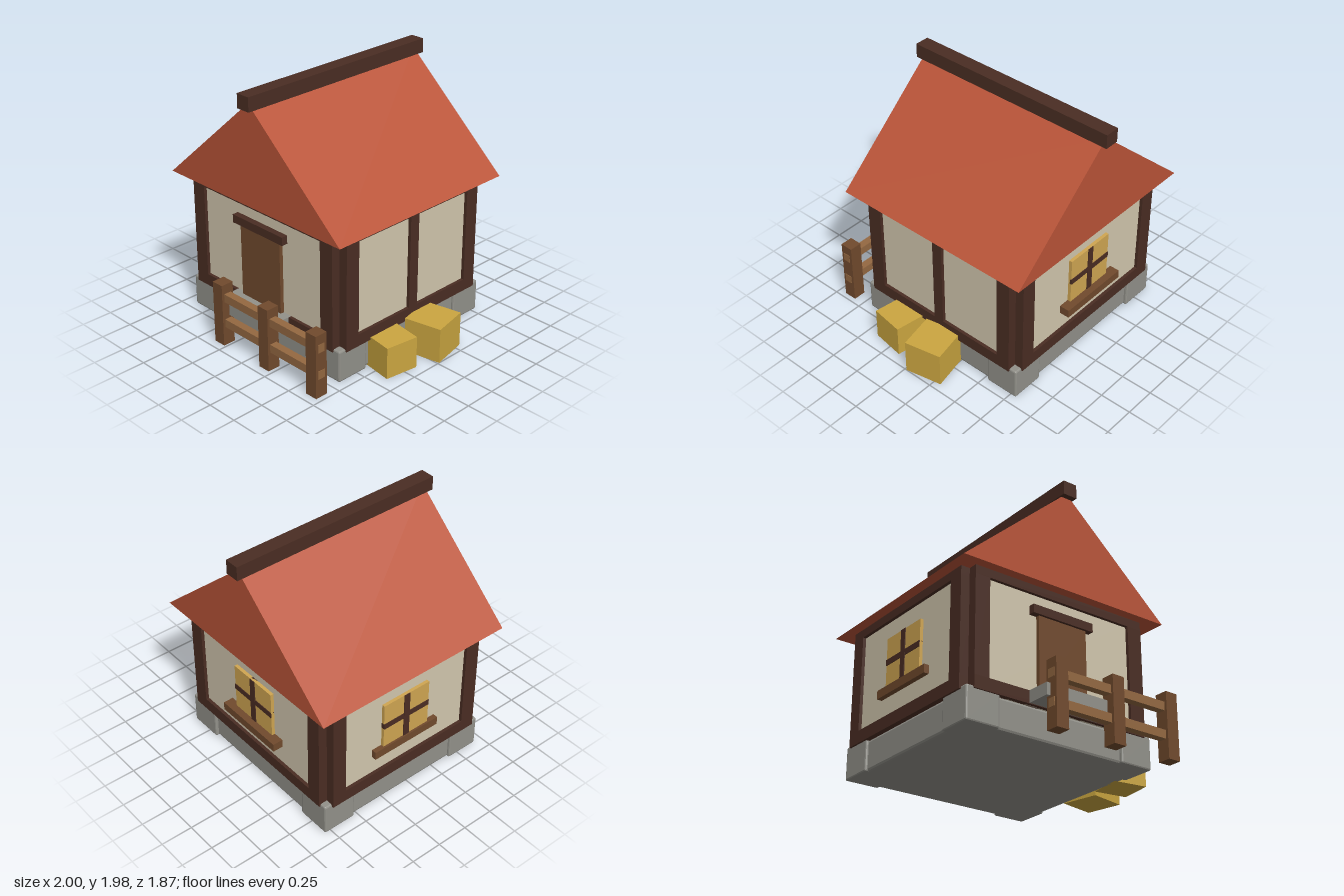
import * as THREE from 'three';
import { RoundedBoxGeometry } from 'three/addons/geometries/RoundedBoxGeometry.js';

const mat = (name, color) => {
  const m = new THREE.MeshStandardMaterial({ color });
  m.name = name;
  return m;
};

export function createModel() {
  const timber = mat('darkTimber', 0x4a2d23);
  const plaster = mat('plaster', 0xd2c7ae);
  const roofRed = mat('roofTile', 0xba5438);
  const stone = mat('stone', 0x92918a);
  const wood = mat('brownWood', 0x714a2d);
  const railWood = mat('railWood', 0x946841);
  const straw = mat('straw', 0xcba640);
  const glass = mat('windowGlass', 0xd0a652);

  const model = new THREE.Group();
  model.name = 'cottage';

  const add = (name, geometry, material, parent = model) => {
    const mesh = new THREE.Mesh(geometry, material);
    mesh.name = name;
    parent.add(mesh);
    return mesh;
  };
  // Box from its minimum and maximum on each axis
  const box = (name, material, x0, x1, y0, y1, z0, z1, parent) => {
    const m = add(name, new THREE.BoxGeometry(x1 - x0, y1 - y0, z1 - z0), material, parent);
    m.position.set((x0 + x1) / 2, (y0 + y1) / 2, (z0 + z1) / 2);
    return m;
  };
  // Box with chamfered edges
  const chamferBox = (name, material, x0, x1, y0, y1, z0, z1, r) => {
    const g = new RoundedBoxGeometry(x1 - x0, y1 - y0, z1 - z0, 1, r);
    g.computeVertexNormals();
    const m = add(name, g, material);
    m.position.set((x0 + x1) / 2, (y0 + y1) / 2, (z0 + z1) / 2);
  };

  // Stone base with larger corner stones
  chamferBox('stoneBase', stone, -0.885, 0.66, 0, 0.235, -0.775, 0.655, 0.02);
  for (const x of [-0.905, 0.41]) {
    for (const z of [-0.8, 0.41]) {
      chamferBox('cornerStone', stone, x, x + 0.27, 0, 0.25, z, z + 0.27, 0.012);
    }
  }

  // Plaster walls: two crossing blocks, leaving notched corners
  box('plasterWallFrontBack', plaster, -0.8, 0.57, 0.23, 1.12, -0.785, 0.665);
  box('plasterWallSides', plaster, -0.895, 0.665, 0.23, 1.12, -0.69, 0.57);

  // Timber frames on the front and back
  for (const [z0, z1] of [[0.57, 0.69], [-0.81, -0.69]]) {
    box('bottomBeam', timber, -0.85, 0.62, 0.23, 0.325, z0, z1);
    box('topBeam', timber, -0.85, 0.62, 1.06, 1.127, z0, z1);
    box('wallPost', timber, -0.85, -0.73, 0.325, 1.06, z0, z1);
    box('wallPost', timber, 0.5, 0.62, 0.325, 1.06, z0, z1);
  }
  // Timber frames on the sides
  for (const [x0, x1] of [[0.57, 0.69], [-0.92, -0.8]]) {
    box('bottomBeam', timber, x0, x1, 0.23, 0.325, -0.74, 0.62);
    box('topBeam', timber, x0, x1, 1.06, 1.127, -0.74, 0.62);
    box('wallPost', timber, x0, x1, 0.325, 1.06, -0.74, -0.625);
    box('wallPost', timber, x0, x1, 0.325, 1.06, 0.5, 0.62);
  }
  box('middlePost', timber, 0.6, 0.69, 0.325, 1.06, -0.105, -0.02);

  // Gable roof and ridge beam
  const gable = new THREE.Shape([
    new THREE.Vector2(-1, 1.125),
    new THREE.Vector2(0.77, 1.125),
    new THREE.Vector2(-0.115, 1.91),
  ]);
  const roof = add('roof', new THREE.ExtrudeGeometry(gable, { depth: 1.655, bevelEnabled: false }), roofRed);
  roof.position.z = -0.89;
  box('ridgeBeam', timber, -0.173, -0.058, 1.87, 1.98, -0.935, 0.81);

  // Door, lintel and doorstep
  box('door', wood, -0.32, 0.095, 0.325, 0.9, 0.62, 0.695);
  box('doorLintel', timber, -0.38, 0.145, 0.9, 0.965, 0.62, 0.715);
  box('doorstep', stone, -0.4, 0.172, 0.235, 0.325, 0.6, 0.872);

  // Windows, built facing +z with the wall plane at z = 0
  const addWindow = (x, z, angle, out, sillOut) => {
    const w = new THREE.Group();
    w.name = 'window';
    box('windowPane', glass, -0.21, 0.21, 0.53, 0.915, -0.02, out, w);
    box('windowMullion', timber, -0.026, 0.026, 0.54, 0.915, 0, out + 0.006, w);
    box('windowCrossbar', timber, -0.21, 0.21, 0.705, 0.75, 0, out + 0.005, w);
    box('windowSill', wood, -0.295, 0.295, 0.475, 0.54, -0.02, sillOut, w);
    w.position.set(x, 0, z);
    w.rotation.y = angle;
    model.add(w);
  };
  addWindow(-0.115, -0.785, Math.PI, 0.026, 0.08);
  addWindow(-0.895, -0.07, -Math.PI / 2, 0.025, 0.04);

  // Fence in front of the door
  for (const x of [-0.37, 0.12, 0.61]) box('fencePost', wood, x, x + 0.1, 0, 0.5, 0.832, 0.935);
  for (const y of [0.15, 0.36]) box('fenceRail', railWood, -0.375, 0.714, y, y + 0.065, 0.855, 0.915);

  // Straw bales beside the right wall
  for (const [x, z, size, height, angle] of [
    [0.826, -0.13, 0.295, 0.275, 0.2],
    [0.768, 0.255, 0.267, 0.25, -0.15],
  ]) {
    const bale = add('bale', new THREE.BoxGeometry(size, height, size), straw);
    bale.position.set(x, height / 2, z);
    bale.rotation.y = angle;
  }

  return model;
}
